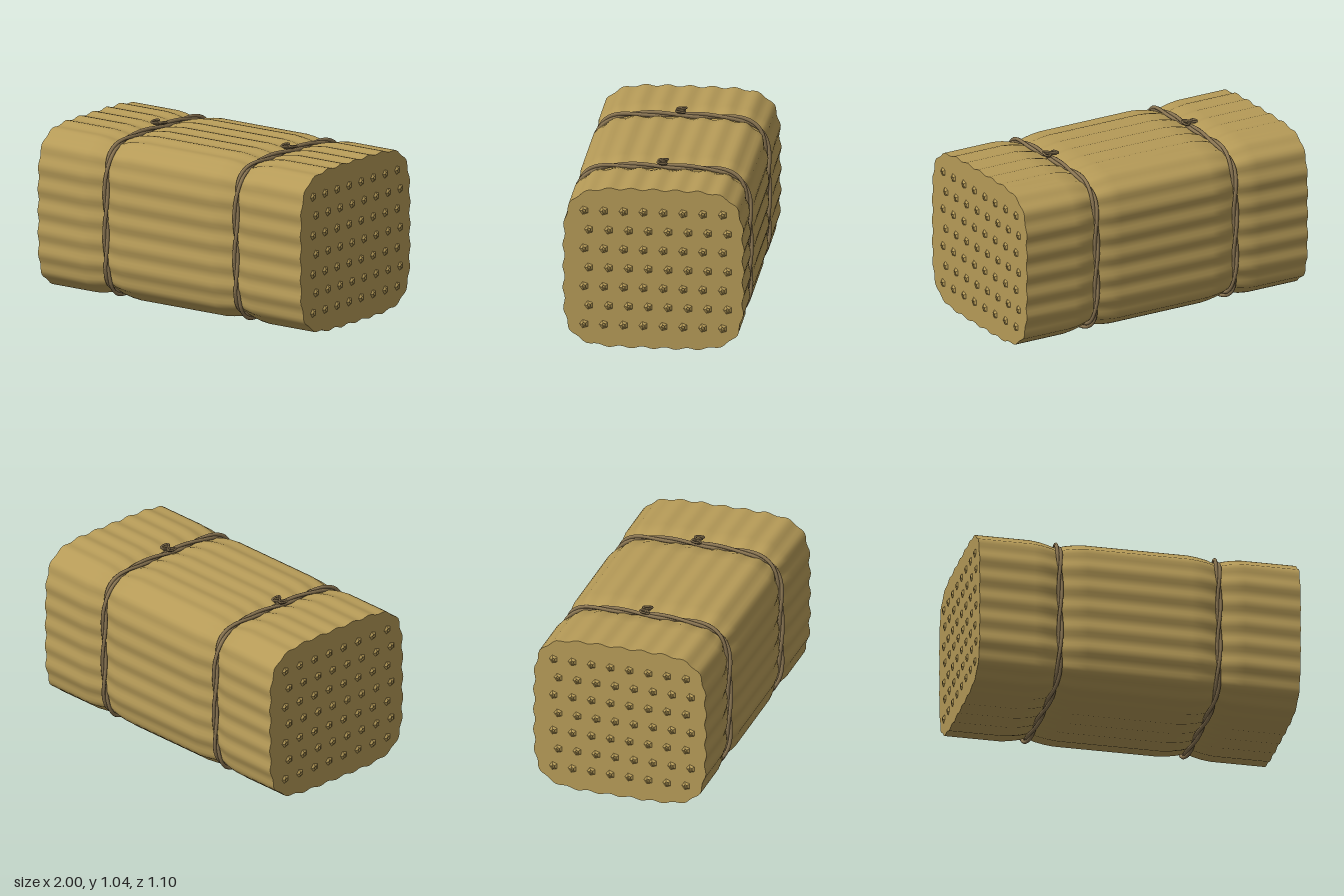
import * as THREE from 'three';
import { mergeGeometries } from 'three/addons/utils/BufferGeometryUtils.js';

const CENTER_Y = 0.51, HALF_Z = 0.548, HALF_Y = 0.505;
const BUMPS = 28, SIDES = BUMPS * 6, END_X = 0.99, ROPE_X = 0.49;

// Rounded-square outline around the bale, evenly spaced by arc length
const outline = new THREE.CatmullRomCurve3(
  Array.from({ length: 160 }, (_, i) => {
    const a = (i / 160) * Math.PI * 2, c = Math.cos(a), s = Math.sin(a);
    const r = (Math.abs(c / HALF_Z) ** 5 + Math.abs(s / HALF_Y) ** 5) ** -0.2;
    return new THREE.Vector3(0, CENTER_Y + r * s, r * c);
  }), true);
outline.arcLengthDivisions = 1200;

// Point on the outline at fraction t, moved outward by offset
function around(t, offset, x) {
  const u = ((t % 1) + 1) % 1;
  const p = outline.getPointAt(u), d = outline.getTangentAt(u);
  return new THREE.Vector3(x, p.y - d.z * offset, p.z + d.y * offset);
}

// Lengthwise straw ripples
const ripple = (t) => 0.007 * (Math.cos(t * BUMPS * Math.PI * 2) - 0.6);

function baleSides() {
  // [x, inset] stations along the right half, mirrored for the left
  const half = [[0, 0], [0.32, 0], [0.38, 0.006], [0.44, 0.017], [0.475, 0.029], [ROPE_X, 0.032],
    [0.505, 0.029], [0.54, 0.018], [0.59, 0.007], [0.65, 0], [END_X, 0]];
  const stations = [...half.slice(1).reverse().map(([x, n]) => [-x, n]), ...half];
  const pos = [], index = [];
  stations.forEach(([x, inset], i) => {
    for (let j = 0; j < SIDES; j++) {
      const t = j / SIDES;
      pos.push(...around(t, ripple(t) - inset, x).toArray());
      if (i === stations.length - 1) continue;
      const a = i * SIDES + j, c = i * SIDES + (j + 1) % SIDES;
      index.push(a, a + SIDES, c, c, a + SIDES, c + SIDES);
    }
  });
  const g = new THREE.BufferGeometry();
  g.setAttribute('position', new THREE.Float32BufferAttribute(pos, 3));
  g.setIndex(index);
  g.computeVertexNormals();
  return g;
}

function endCap() {
  const pts = Array.from({ length: SIDES }, (_, j) => {
    const p = around(j / SIDES, ripple(j / SIDES), 0);
    return new THREE.Vector2(-p.z, p.y);
  });
  return new THREE.ShapeGeometry(new THREE.Shape(pts)).rotateY(Math.PI / 2).translate(END_X, 0, 0);
}

// Staggered rows of hollow five-sided straw tips
function strawTips() {
  const profile = [[0.028, 0], [0.012, 0.01], [0.009, 0.01], [0.009, 0.001], [0, 0.001]]
    .map(([r, h]) => new THREE.Vector2(r, h));
  const tip = new THREE.LatheGeometry(profile, 5).toNonIndexed();
  tip.rotateZ(-Math.PI / 2);
  tip.computeVertexNormals();
  const tips = [];
  for (let row = 0; row < 7; row++) {
    for (let col = 0; col < 8; col++) {
      const z = 0.42 - col * 0.12 - (row % 2 ? 0.03 : 0);
      tips.push(tip.clone().translate(END_X, 0.147 + row * 0.12, z));
    }
  }
  return mergeGeometries(tips);
}

// One strand of the two-ply twine
function strand(phase) {
  const n = 220, pts = [];
  for (let i = 0; i < n; i++) {
    const t = i / n, a = t * 7 * Math.PI * 2 + phase;
    pts.push(around(t, -0.019 + 0.010 * Math.cos(a), 0.010 * Math.sin(a)));
  }
  return new THREE.TubeGeometry(new THREE.CatmullRomCurve3(pts, true), 320, 0.0115, 7, true);
}

// Flat figure-eight bow
function bow(scale, y) {
  const pts = Array.from({ length: 32 }, (_, i) => {
    const a = (i / 32) * Math.PI * 2;
    return new THREE.Vector3(0.044 * scale * Math.cos(a), y + 0.005 * Math.sin(a),
      0.029 * scale * Math.sin(2 * a));
  });
  return new THREE.TubeGeometry(new THREE.CatmullRomCurve3(pts, true), 64, 0.0065, 6, true);
}

export function createModel() {
  const straw = new THREE.MeshStandardMaterial({ color: 0xb59a57 });
  straw.name = 'straw';
  const twine = new THREE.MeshStandardMaterial({ color: 0x8a7552 });
  twine.name = 'twine';

  const model = new THREE.Group();
  model.name = 'strawBale';
  const add = (parent, name, geometry, material) => {
    const mesh = new THREE.Mesh(geometry, material);
    mesh.name = name;
    parent.add(mesh);
    return mesh;
  };

  add(model, 'baleSides', baleSides(), straw);

  // Cut ends
  const cap = endCap(), tips = strawTips();
  for (const [name, turn] of [['leftEnd', 0], ['rightEnd', Math.PI]]) {
    const end = new THREE.Group();
    end.name = name;
    end.rotation.y = turn;
    add(end, 'endFace', cap, straw);
    add(end, 'strawTips', tips, straw);
    model.add(end);
  }

  // Twine loops with bows on top
  const strands = [strand(0), strand(Math.PI)];
  const bows = [bow(1, 1.027), bow(0.72, 1.018)];
  const knot = new THREE.SphereGeometry(0.014, 10, 8).scale(1, 0.8, 1).translate(0, 1.02, 0);
  for (const [name, x] of [['leftTwine', ROPE_X], ['rightTwine', -ROPE_X]]) {
    const rope = new THREE.Group();
    rope.name = name;
    rope.position.x = x;
    strands.forEach((g) => add(rope, 'strand', g, twine));
    bows.forEach((g) => add(rope, 'bowLoop', g, twine));
    add(rope, 'knot', knot, twine);
    model.add(rope);
  }
  return model;
}
